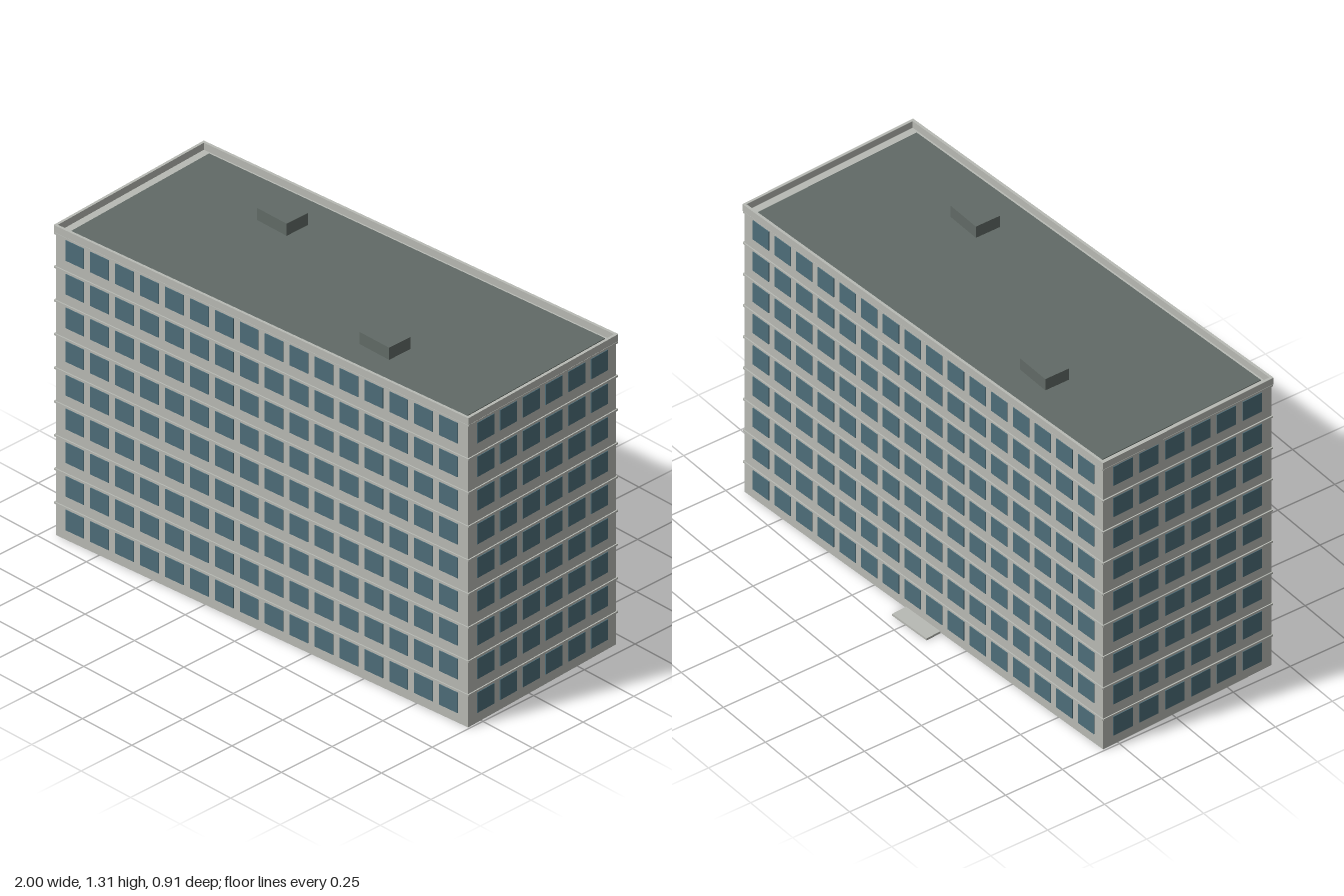
import * as THREE from 'three';
import { mergeGeometries } from 'three/addons/utils/BufferGeometryUtils.js';

const FLOORS = 9, PITCH = 0.1395, ROOF_Y = FLOORS * PITCH;

// Slightly skewed footprint, as [x, z] corners from front right round to back right
const FOOTPRINT = [[-0.955, 0.451], [0.993, 0.316], [0.955, -0.451], [-0.993, -0.316]];

// Upright prism over the footprint, scaled about its centre
function prism(scale, y, height) {
  const shape = new THREE.Shape(FOOTPRINT.map(([x, z]) => new THREE.Vector2(x * scale, -z * scale)));
  return new THREE.ExtrudeGeometry(shape, { depth: height, bevelEnabled: false })
    .rotateX(-Math.PI / 2).translate(0, y, 0);
}

function box(w, h, d, x, y, z) {
  return new THREE.BoxGeometry(w, h, d).translate(x, y, z);
}

export function createModel() {
  const concrete = new THREE.MeshStandardMaterial({ name: 'concrete', color: 0xb8bab4 });
  const glass = new THREE.MeshStandardMaterial({ name: 'glass', color: 0x4d6d79 });
  const roofing = new THREE.MeshStandardMaterial({ name: 'roofing', color: 0x616a66 });

  const model = new THREE.Group();
  model.name = 'apartmentBlock';
  const add = (name, geometry, material, parent = model) => {
    const mesh = new THREE.Mesh(geometry, material);
    mesh.name = name;
    parent.add(mesh);
    return mesh;
  };

  // Body and inset roof covering
  add('body', prism(1, 0, ROOF_Y), concrete);
  add('roof', prism(0.96, ROOF_Y, 0.003), roofing);

  // Facades: local x runs along the wall, local z points outward
  const names = ['frontFacade', 'leftFacade', 'backFacade', 'rightFacade'];
  const columns = [16, 6, 16, 6];
  FOOTPRINT.forEach(([x0, z0], i) => {
    const [x1, z1] = FOOTPRINT[(i + 1) % 4];
    const length = Math.hypot(x1 - x0, z1 - z0);
    const facade = new THREE.Group();
    facade.name = names[i];
    facade.position.set((x0 + x1) / 2, 0, (z0 + z1) / 2);
    facade.rotation.y = Math.atan2(z0 - z1, x1 - x0);
    model.add(facade);

    const windows = [], ledges = [];
    for (let f = 0; f < FLOORS; f++) {
      for (let c = 0; c < columns[i]; c++) {
        const x = (c - (columns[i] - 1) / 2) * 0.118;
        windows.push(box(0.087, 0.084, 0.006, x, f * PITCH + 0.083, 0));
      }
      ledges.push(box(length + 0.006, 0.007, 0.01, 0, f * PITCH + 0.1345, 0));
    }
    add('windows', mergeGeometries(windows), glass, facade);
    add('floorLedges', mergeGeometries(ledges), concrete, facade);
    add('parapet', box(length + 0.009, 0.029, 0.011, 0, ROOF_Y + 0.0145, 0), concrete, facade);

    // Entrance step at the middle of the back
    if (i === 2) add('entranceStep', box(0.187, 0.009, 0.064, 0, 0.0045, 0.035), concrete, facade);
  });

  // Roof housings
  for (const s of [-1, 1]) {
    add('roofHousing', box(0.15, 0.055, 0.105, s < 0 ? -0.438 : 0.415, ROOF_Y + 0.0255, s * 0.163), roofing);
  }
  return model;
}
